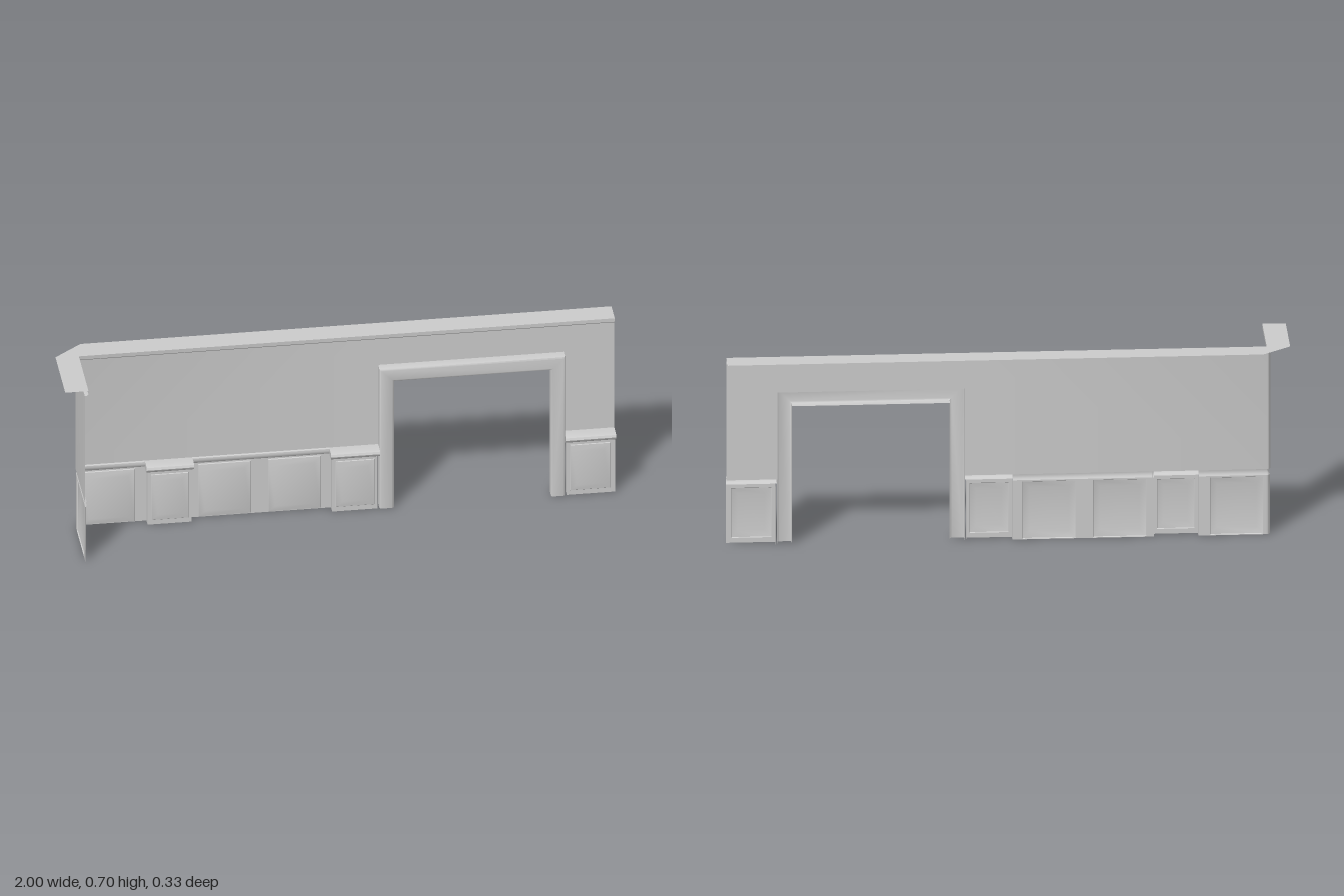
import * as THREE from 'three';
import { toCreasedNormals, mergeGeometries } from 'three/addons/utils/BufferGeometryUtils.js';

const material = new THREE.MeshStandardMaterial({ color: 0xcccccc, side: THREE.DoubleSide });
const WALL_Z = -0.093, WING_X = -0.93, END = 0.165, FILLET = 0.015;
const RAIL_Y = 0.245, FIELD_TOP = 0.222, CORNICE_Y = 0.68, TOP = 0.7;
const DOOR = { x0: 0.155, x1: 0.82, top: 0.57 };

function mesh(name, geometry) {
  const m = new THREE.Mesh(geometry, material);
  m.name = name;
  return m;
}

// Skin a grid of points given as rows of [x, y, z]
function skin(rows, crease = 0.6) {
  const pos = [];
  const same = (a, b) => a.every((v, i) => Math.abs(v - b[i]) < 1e-7);
  const tri = (a, b, c) => {
    if (!same(a, b) && !same(b, c) && !same(a, c)) pos.push(...a, ...b, ...c);
  };
  for (let i = 0; i + 1 < rows.length; i++) {
    for (let j = 0; j + 1 < rows[i].length; j++) {
      const a = rows[i][j], b = rows[i][j + 1], c = rows[i + 1][j + 1], d = rows[i + 1][j];
      tri(a, b, c);
      tri(a, c, d);
    }
  }
  const g = new THREE.BufferGeometry();
  g.setAttribute('position', new THREE.Float32BufferAttribute(pos, 3));
  g.computeVertexNormals();
  return toCreasedNormals(g, crease);
}

// Plan line of the wall: the wing, a rounded inner corner, the long run.
// Each point is [x, z, normalX, normalZ].
const corner = [];
for (let i = 0; i <= 6; i++) {
  const a = (i / 6) * Math.PI / 2, c = Math.cos(a), s = Math.sin(a);
  corner.push([WING_X + FILLET - FILLET * c, WALL_Z + FILLET - FILLET * s, c, s]);
}
const wingEnd = [WING_X, END, 1, 0];
const runTo = (x) => [x, WALL_Z, 0, 1];

// Sweep a profile of [offset from wall, y] along a plan line
const sweep = (plan, profile) => skin(profile.map(([d, y]) =>
  plan.map(([x, z, nx, nz]) => [x + nx * d, y, z + nz * d])));

// Rectangular ring of points, closed
const ring = ([x0, y0, x1, y1], inset, z) => [
  [x0 + inset, y0 + inset, z], [x1 - inset, y0 + inset, z],
  [x1 - inset, y1 - inset, z], [x0 + inset, y1 - inset, z], [x0 + inset, y0 + inset, z]];

// Flat field pierced by bevelled raised panels, in the local xy plane
function panelling(name, x0, x1, top, panels, bevel, height) {
  const group = new THREE.Group();
  group.name = name;
  const shape = new THREE.Shape([[x0, 0], [x1, 0], [x1, top], [x0, top]].map(p => new THREE.Vector2(...p)));
  for (const p of panels) {
    shape.holes.push(new THREE.Path(ring(p, 0, 0).slice(0, 4).reverse().map(([x, y]) => new THREE.Vector2(x, y))));
    const middle = [(p[0] + p[2]) / 2, (p[1] + p[3]) / 2, height];
    group.add(mesh('raisedPanel', skin([
      ring(p, 0, 0), ring(p, 0.002, height * 0.35), ring(p, bevel, height), Array(5).fill(middle)])));
  }
  group.add(mesh('panelField', new THREE.ShapeGeometry(shape)));
  return group;
}

// Projecting pedestal with a rounded ledge and one small panel
function pedestal(name, x0, x1, openRight) {
  const group = new THREE.Group();
  group.name = name;
  const bodyZ = -0.061, bodyTop = 0.218, in0 = x0 + 0.006, in1 = openRight ? x1 : x1 - 0.006;
  const ledge = [[WALL_Z, RAIL_Y], [-0.052, RAIL_Y], [-0.044, 0.242], [-0.04, 0.234],
    [-0.043, 0.226], [-0.05, 0.221], [bodyZ, bodyTop]];
  group.add(mesh('ledge', skin(ledge.map(([z, y]) => [[x0, y, z], [x1, y, z]]))));
  const front = panelling('pedestalFront', in0, in1, bodyTop,
    [[x0 + 0.018, 0.018, x1 - 0.018, 0.205]], 0.024, 0.007);
  front.position.z = bodyZ;
  group.add(front);

  // Ends: ledge outline plus the body side below it
  const outline = new THREE.Shape([...ledge, [WALL_Z, bodyTop]].map(([z, y]) => new THREE.Vector2(-z, y)));
  for (const [x, bx] of openRight ? [[x0, in0]] : [[x0, in0], [x1, in1]]) {
    const cap = new THREE.ShapeGeometry(outline);
    cap.rotateY(Math.PI / 2).translate(x, 0, 0);
    const side = skin([[[bx, 0, WALL_Z], [bx, 0, bodyZ]], [[bx, bodyTop, WALL_Z], [bx, bodyTop, bodyZ]]]);
    group.add(mesh('ledgeEnd', cap), mesh('pedestalSide', side));
  }
  return group;
}

export function createModel() {
  const model = new THREE.Group();
  model.name = 'panelledWall';

  // Upper wall: wing and run, then the parts over and beside the doorway
  const bend = [wingEnd, ...corner];
  model.add(mesh('upperWall', mergeGeometries([
    sweep([...bend, runTo(DOOR.x0)], [[0, RAIL_Y], [0, CORNICE_Y]]),
    sweep([runTo(DOOR.x0), runTo(DOOR.x1)], [[0, DOOR.top], [0, CORNICE_Y]]),
    sweep([runTo(DOOR.x1), runTo(1)], [[0, RAIL_Y], [0, CORNICE_Y]])])));

  // Cornice lip and the flat wall top with its chamfered outer corner
  model.add(mesh('cornice', sweep([...bend, runTo(1)],
    [[0, CORNICE_Y], [0.008, 0.681], [0.013, 0.686], [0.013, TOP]])));
  const cap = new THREE.Shape([[-1, END], [-0.917, END], [-0.917, -0.078], [-0.915, -0.08], [1, -0.08],
    [1, -END], [-0.9, -END], [-1, -0.085]].map(([x, z]) => new THREE.Vector2(x, -z)));
  const capGeometry = new THREE.ShapeGeometry(cap);
  capGeometry.rotateX(-Math.PI / 2).translate(0, TOP, 0);
  model.add(mesh('wallTop', capGeometry));

  // Wainscot rail, corner strip and panelled fields
  const OUT = 0.002;
  const rail = [[0, RAIL_Y], [0.007, 0.243], [0.008, 0.236], [0.006, 0.228], [OUT, FIELD_TOP]];
  model.add(mesh('wainscotRail', sweep([...bend, runTo(-0.674)], rail)));
  model.add(mesh('wainscotRail', sweep([runTo(-0.516), runTo(-0.014)], rail)));
  model.add(mesh('wainscotCorner', sweep(corner, [[OUT, 0], [OUT, FIELD_TOP]])));

  const wing = panelling('wingWainscot', -END, -(WALL_Z + FILLET), FIELD_TOP,
    [[-0.135, 0.002, 0.05, 0.217]], 0.025, 0.01);
  wing.rotation.y = Math.PI / 2;
  wing.position.x = WING_X + OUT;
  const nearCorner = panelling('cornerWainscot', WING_X + FILLET, -0.674, FIELD_TOP,
    [[-0.905, 0.002, -0.715, 0.217]], 0.025, 0.01);
  const middle = panelling('middleWainscot', -0.516, -0.014, FIELD_TOP,
    [-0.49, -0.24].map(x => [x, 0.002, x + 0.19, 0.217]), 0.025, 0.01);
  nearCorner.position.z = middle.position.z = WALL_Z + OUT;
  model.add(wing, nearCorner, middle);

  // Pedestals
  model.add(pedestal('cornerPedestal', -0.68, -0.51, false));
  model.add(pedestal('doorRightPedestal', -0.02, DOOR.x0, false));
  model.add(pedestal('doorLeftPedestal', DOOR.x1, 1, true));

  // Door surround: hollow moulding carried up, across and down
  const moulding = [[0, WALL_Z], [0, -0.064], [0.002, -0.059], [0.007, -0.057], [0.045, -0.057],
    [0.05, -0.059], [0.052, -0.064], [0.052, WALL_Z]];
  model.add(mesh('doorSurround', skin(moulding.map(([i, z]) => [
    [DOOR.x0 + i, 0, z], [DOOR.x0 + i, DOOR.top - i, z],
    [DOOR.x1 - i, DOOR.top - i, z], [DOOR.x1 - i, 0, z]]), 0.9)));

  return model;
}
